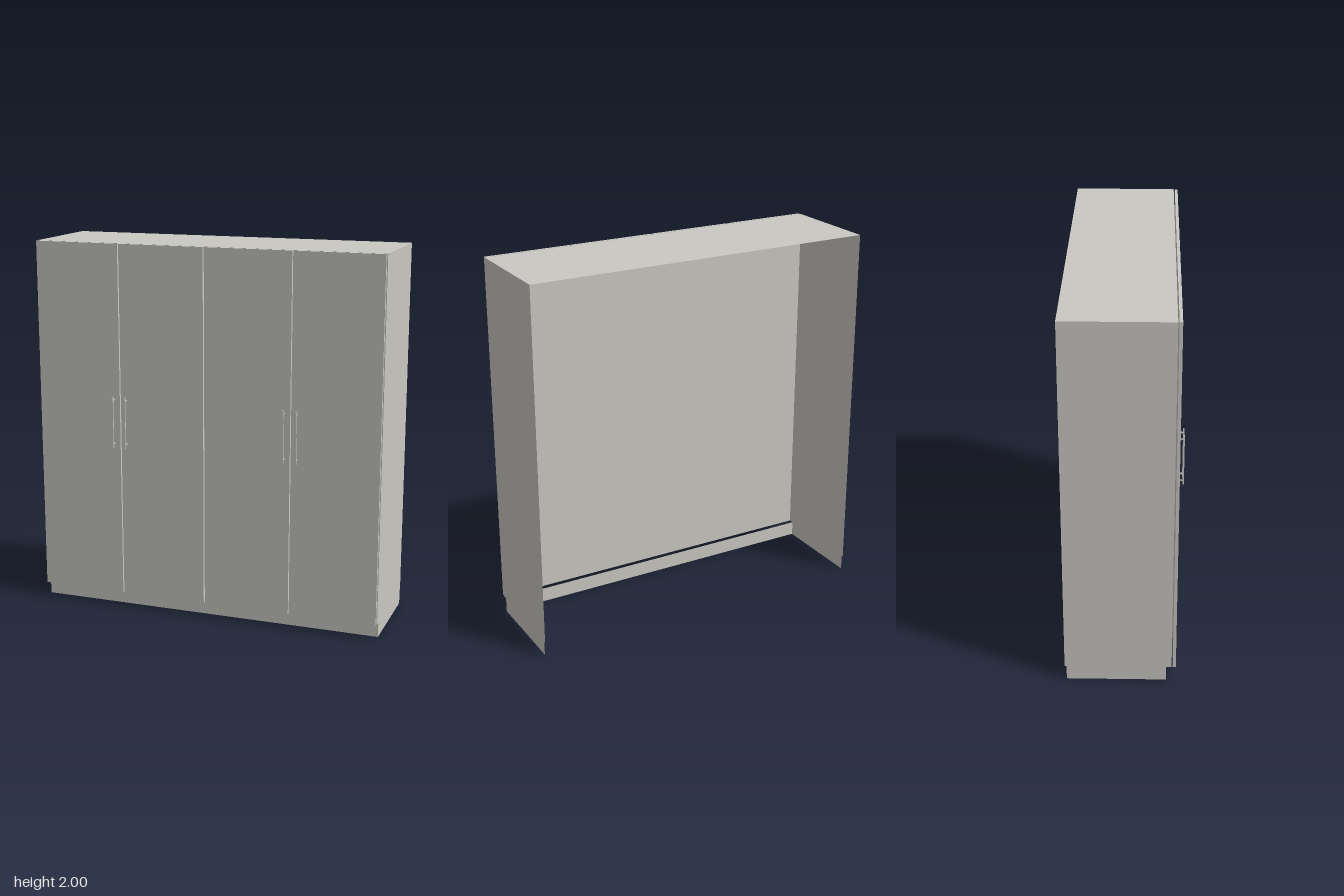
import * as THREE from 'three';

const W = 1.9, H = 2, BASE = 0.08;      // width, height, plinth height
const BACK = -0.3, FRONT = 0.248;       // depth range of the carcass

export function createModel() {
  const group = new THREE.Group();
  const panelGrey = new THREE.MeshStandardMaterial({ color: 0xc9c8c2, side: THREE.DoubleSide });
  panelGrey.name = 'panelGrey';

  const add = (name, geometry, x, y, z, parent = group) => {
    const mesh = new THREE.Mesh(geometry, panelGrey);
    mesh.name = name;
    mesh.position.set(x, y, z);
    parent.add(mesh);
    return mesh;
  };

  // Thin side walls, stepped in at the plinth (shape x runs along -z)
  const profile = new THREE.Shape([
    [-FRONT, H], [-FRONT, BASE], [-0.22, BASE], [-0.22, 0],
    [0.29, 0], [0.29, BASE], [-BACK, BASE], [-BACK, H],
  ].map(([x, y]) => new THREE.Vector2(x, y)));
  const wall = new THREE.ShapeGeometry(profile).rotateY(Math.PI / 2);
  add('leftWall', wall, W / 2, 0, 0);
  add('rightWall', wall, -W / 2, 0, 0);

  // Top sheet, inner front sheet and plinth board; the back and floor are open
  const top = new THREE.PlaneGeometry(W, FRONT - BACK).rotateX(-Math.PI / 2);
  add('top', top, 0, H, (FRONT + BACK) / 2);
  add('frontPanel', new THREE.PlaneGeometry(W, H - BASE), 0, (H + BASE) / 2, FRONT);
  add('plinth', new THREE.PlaneGeometry(W, BASE), 0, BASE / 2, 0.22);

  // Four doors with narrow gaps between them
  const doorWidth = W / 4;
  const door = new THREE.BoxGeometry(doorWidth - 0.006, H - BASE, 0.016);
  for (let i = 0; i < 4; i++) {
    add('door', door, (i - 1.5) * doorWidth, (H + BASE) / 2, 0.262);
  }

  // Bar handles on two posts, in a pair on either side of each outer gap
  const bar = new THREE.BoxGeometry(0.01, 0.28, 0.008);
  const post = new THREE.BoxGeometry(0.006, 0.006, 0.028);
  for (const x of [-0.51, -0.44, 0.44, 0.51]) {
    const handle = new THREE.Group();
    handle.name = 'handle';
    handle.position.set(x, 1.05, 0);
    add('handleBar', bar, 0, 0, 0.298, handle);
    for (const y of [-0.12, 0.12]) add('handlePost', post, 0, y, 0.282, handle);
    group.add(handle);
  }
  return group;
}
